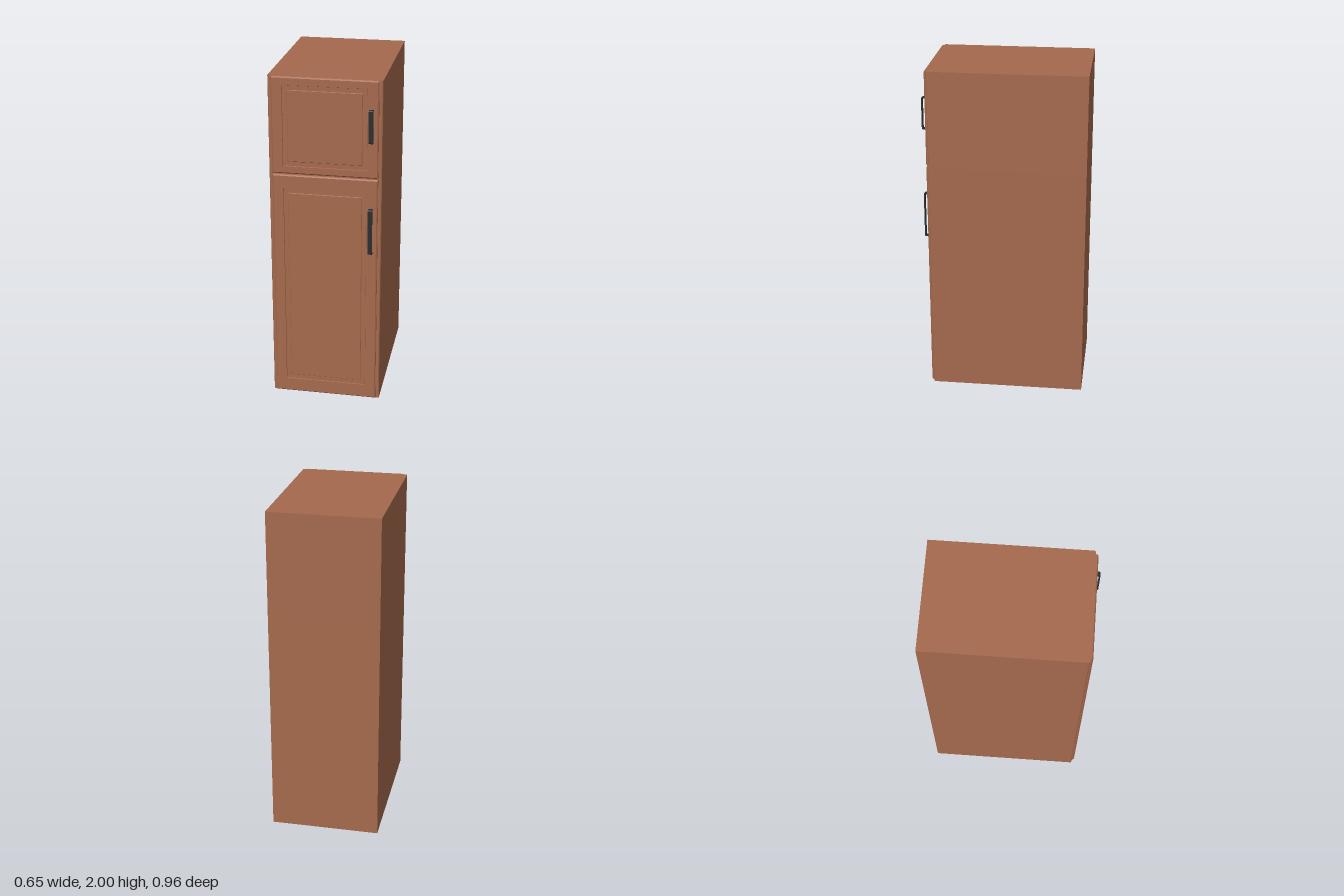
import * as THREE from 'three';

const wood = new THREE.MeshStandardMaterial({ color: 0xa5694d });
wood.name = 'brownWood';
const black = new THREE.MeshStandardMaterial({ color: 0x2b2e30 });
black.name = 'blackMetal';

// Cabinet box with rounded front vertical corners, extruded upward
function cabinet(name, y0, y1) {
  const w = 0.327, back = 0.483, front = 0.442, r = 0.012;
  const s = new THREE.Shape();
  s.moveTo(-w, back);
  s.lineTo(-w, -front + r);
  s.quadraticCurveTo(-w, -front, -w + r, -front);
  s.lineTo(w - r, -front);
  s.quadraticCurveTo(w, -front, w, -front + r);
  s.lineTo(w, back);
  s.closePath();
  const g = new THREE.ExtrudeGeometry(s, { depth: y1 - y0, bevelEnabled: false, curveSegments: 4 });
  g.rotateX(-Math.PI / 2).translate(0, y0, 0);
  const m = new THREE.Mesh(g, wood);
  m.name = name;
  return m;
}

// Door lofted from nested rectangles: chamfered rim, shallow groove, centre panel
function door(name, y0, y1, panelY0, panelY1) {
  const w = 0.306, c = 0.007, p = 0.243;
  const rect = (hw, a, b, z) => [[-hw, a, z], [hw, a, z], [hw, b, z], [-hw, b, z]];
  const panel = (inset, z) => rect(p - inset, panelY0 + inset, panelY1 - inset, z);
  const loops = [
    rect(w, y0, y1, 0.435),
    rect(w, y0, y1, 0.450),
    rect(w - c, y0 + c, y1 - c, 0.457),
    panel(0, 0.457),
    panel(0.002, 0.452),
    panel(0.028, 0.452),
    panel(0.031, 0.456),
  ];
  const pos = [];
  const quad = (a, b, d, e) => pos.push(...a, ...b, ...d, ...a, ...d, ...e);
  for (let i = 0; i + 1 < loops.length; i++) {
    for (let k = 0; k < 4; k++) {
      const n = (k + 1) % 4;
      quad(loops[i][k], loops[i][n], loops[i + 1][n], loops[i + 1][k]);
    }
  }
  quad(...loops[loops.length - 1]);
  quad(...[...loops[0]].reverse());
  const g = new THREE.BufferGeometry();
  g.setAttribute('position', new THREE.Float32BufferAttribute(pos, 3));
  g.computeVertexNormals();
  const m = new THREE.Mesh(g, wood);
  m.name = name;
  return m;
}

// Bracket handle: side profile in z/y, extruded across its width
function handle(name, y0, y1) {
  const z0 = 0.455, z1 = 0.481, t = 0.007, c = 0.005;
  const s = new THREE.Shape();
  s.moveTo(z0, y0);
  s.lineTo(z1 - c, y0);
  s.lineTo(z1, y0 + c);
  s.lineTo(z1, y1 - c);
  s.lineTo(z1 - c, y1);
  s.lineTo(z0, y1);
  s.lineTo(z0, y1 - t);
  s.lineTo(z1 - t, y1 - t);
  s.lineTo(z1 - t, y0 + t);
  s.lineTo(z0, y0 + t);
  s.closePath();
  const g = new THREE.ExtrudeGeometry(s, { depth: 0.026, bevelEnabled: false });
  g.rotateY(-Math.PI / 2).translate(0.279, 0, 0);
  const m = new THREE.Mesh(g, black);
  m.name = name;
  return m;
}

export function createModel() {
  const group = new THREE.Group();
  group.name = 'tallCabinet';
  group.add(
    cabinet('lowerCabinet', 0, 1.42),
    cabinet('upperCabinet', 1.42, 2),
    door('lowerDoor', 0.003, 1.422, 0.09, 1.34),
    door('upperDoor', 1.43, 2, 1.475, 1.953),
    handle('lowerHandle', 0.97, 1.247),
    handle('upperHandle', 1.643, 1.836),
  );
  return group;
}
